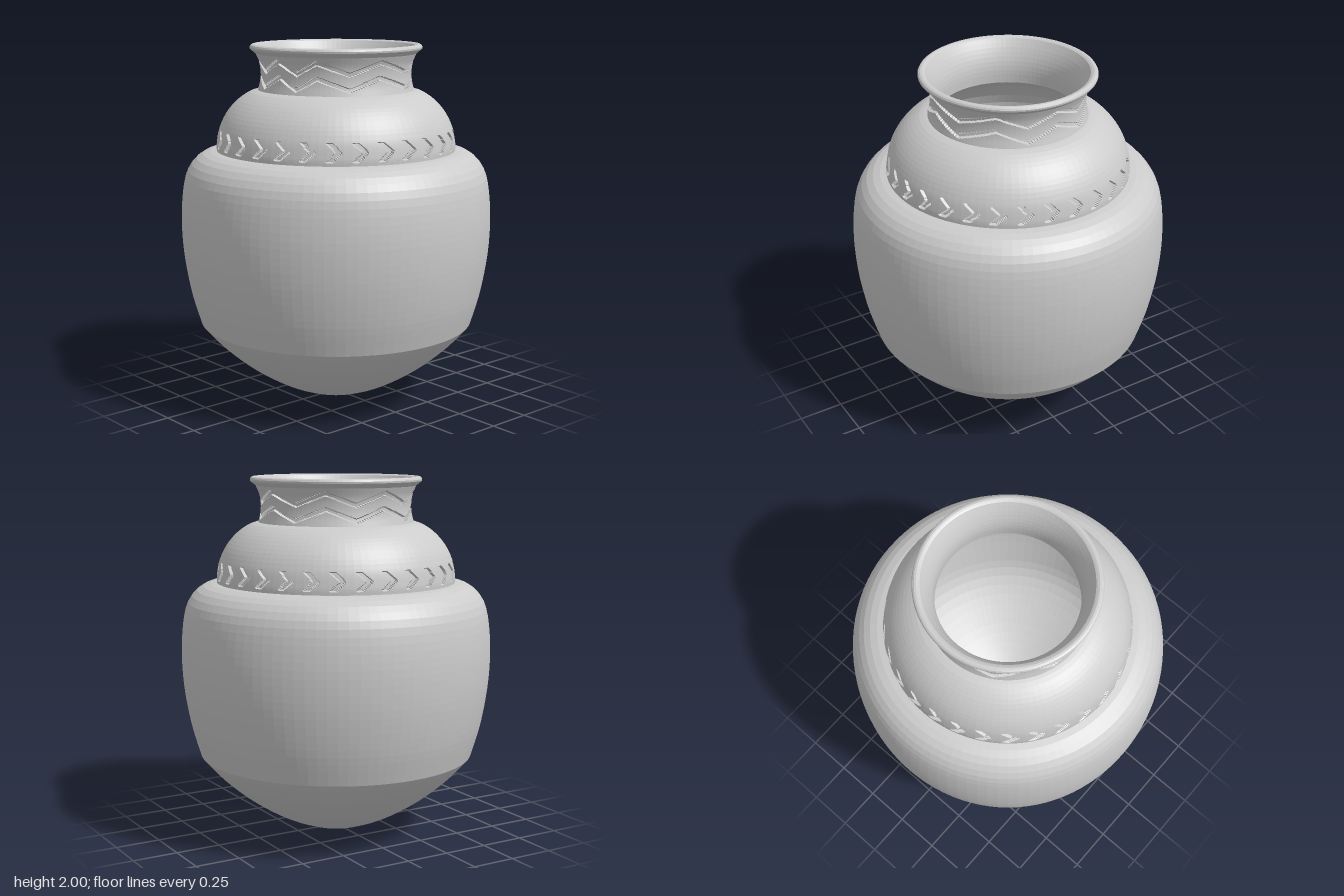
import * as THREE from 'three';

const SIDES = 96;
const material = new THREE.MeshStandardMaterial({ color: 0xcccccc, flatShading: true });
const spline = (pairs) => new THREE.SplineCurve(pairs.map(([r, y]) => new THREE.Vector2(r, y)));

// Revolve the stretch t0..t1 of a profile; carve(angle, y, r) gives the groove depth.
function turned(name, curve, rows, t0 = 0, t1 = 1, cuts = 1, carve = null) {
  const points = [];
  for (let i = 0; i <= rows; i++) points.push(curve.getPointAt(t0 + (t1 - t0) * i / rows));
  const geometry = new THREE.LatheGeometry(points, SIDES * cuts);
  if (carve) {
    const p = geometry.attributes.position;
    const step = 2 * Math.PI / SIDES;
    for (let i = 0; i < p.count; i++) {
      const x = p.getX(i), y = p.getY(i), z = p.getZ(i);
      const angle = (Math.atan2(x, z) + 2 * Math.PI) % (2 * Math.PI);
      const r = Math.hypot(x, z);
      // Follow the flat facets of the neighbouring surfaces, then sink the groove.
      const facet = Math.cos(step / 2) / Math.cos(angle % step - step / 2);
      const k = facet - carve(angle, y, r) / r;
      p.setXYZ(i, x * k, y, z * k);
    }
  }
  const mesh = new THREE.Mesh(geometry, material);
  mesh.name = name;
  return mesh;
}

// Ring of 30 incised chevrons pointing sideways.
function chevrons(angle, y, r) {
  const pitch = Math.PI / 15;
  const start = 0.5 * pitch;
  const u = (((angle - start) % pitch + 1.5 * pitch) % pitch - pitch / 2) * r;
  const v = Math.abs(y - 1.488);
  const across = Math.abs(u - 0.028 + v * 1.1) / 1.49;
  return v < 0.046 && across < 0.0115 ? 0.015 : 0;
}

// Two parallel zigzag lines, hand-spaced around the neck.
const peaks = [-7, 50, 95, 142, 187, 235, 273, 305, 353];
function zigzags(angle, y) {
  let a = angle * 180 / Math.PI;
  if (a >= 353) a -= 360;
  const i = peaks.findIndex((p, n) => a >= p && a < peaks[n + 1]);
  const f = (a - peaks[i]) / (peaks[i + 1] - peaks[i]);
  const line = 1.86 + 0.062 * Math.abs(2 * f - 1);
  const gap = Math.min(Math.abs(y - line), Math.abs(y - line + 0.082));
  return gap < 0.011 ? 0.015 : 0;
}

export function createModel() {
  const group = new THREE.Group();
  group.name = 'vessel';

  // Outer profiles, from bottom to top
  const base = spline([[0, 0], [0.07, 0.003], [0.13, 0.012], [0.2, 0.035], [0.34, 0.095],
    [0.51, 0.2], [0.66, 0.325], [0.77, 0.445]]);
  const body = spline([[0.77, 0.445], [0.82, 0.62], [0.855, 0.82], [0.867, 1], [0.861, 1.15],
    [0.842, 1.27], [0.81, 1.34], [0.76, 1.39], [0.7, 1.414], [0.66, 1.42]]);
  const shoulder = spline([[0.665, 1.418], [0.664, 1.46], [0.648, 1.54], [0.61, 1.62],
    [0.55, 1.69], [0.48, 1.737], [0.425, 1.752]]);
  const neck = spline([[0.432, 1.75], [0.42, 1.8], [0.417, 1.85], [0.424, 1.9], [0.444, 1.95]]);

  // Lip and inner wall
  const rim = spline([[0.444, 1.95], [0.472, 1.973], [0.476, 1.985], [0.468, 1.997],
    [0.452, 2], [0.435, 1.992]]);
  const throat = spline([[0.435, 1.992], [0.405, 1.94], [0.382, 1.88], [0.373, 1.82], [0.376, 1.75]]);
  const cavity = spline([[0.376, 1.75], [0.48, 1.68], [0.58, 1.56], [0.62, 1.42], [0.74, 1.33],
    [0.8, 1.15], [0.81, 0.95], [0.77, 0.7], [0.7, 0.47], [0.48, 0.26], [0.25, 0.11], [0.1, 0.06], [0, 0.055]]);

  group.add(
    turned('base', base, 18),
    turned('body', body, 26),
    turned('chevronBand', shoulder, 22, 0, 0.3, 6, chevrons),
    turned('shoulder', shoulder, 12, 0.3, 1),
    turned('zigzagNeck', neck, 40, 0, 1, 6, zigzags),
    turned('rim', rim, 10),
    turned('throat', throat, 10),
    turned('cavity', cavity, 36),
  );
  return group;
}
